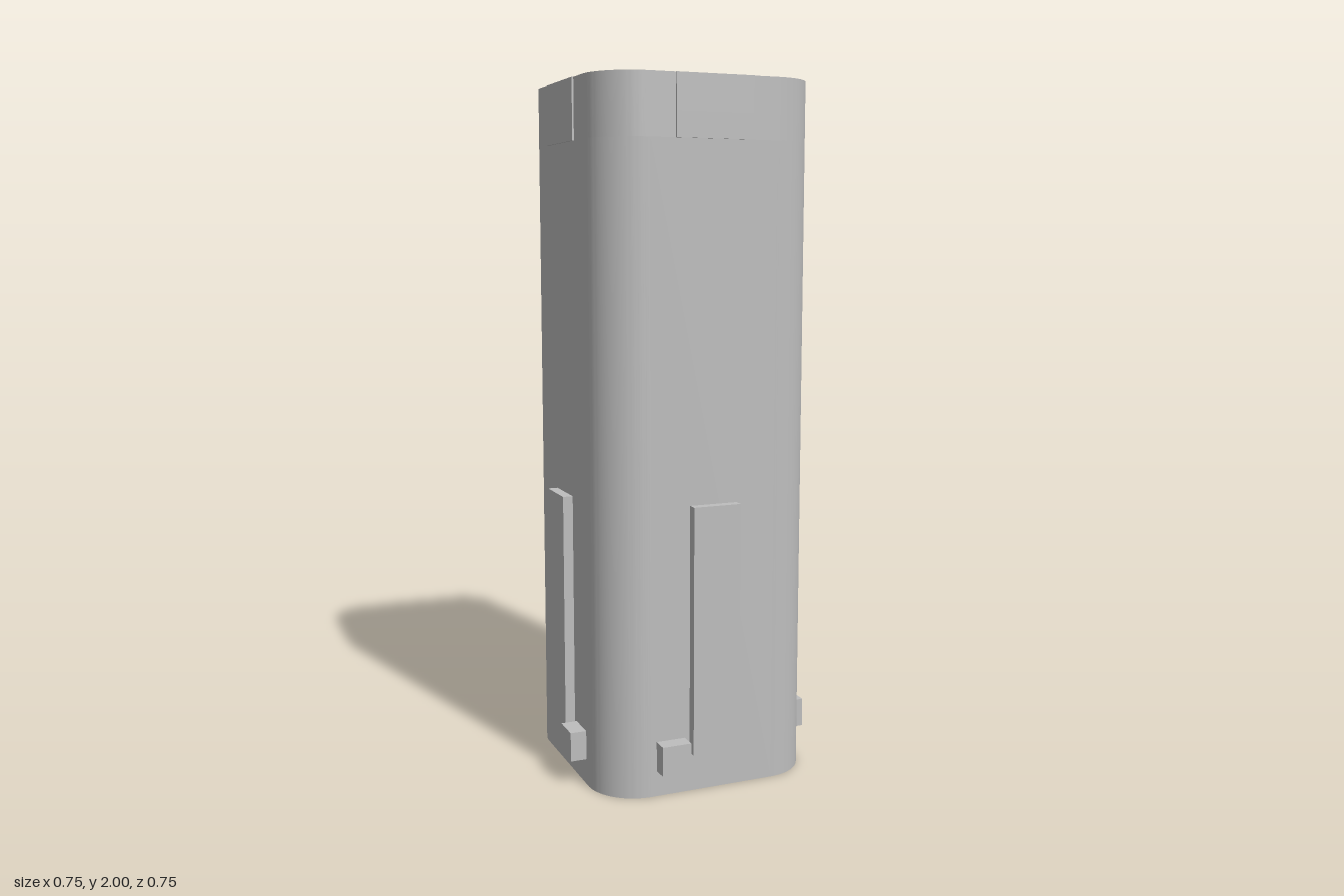
import * as THREE from 'three';
import { toCreasedNormals } from 'three/addons/utils/BufferGeometryUtils.js';

export function createModel() {
  const model = new THREE.Group();
  model.name = 'squareColumn';
  const grey = new THREE.MeshStandardMaterial({ color: 0xbebebe });
  grey.name = 'grey';

  const OUT = 0.328, IN = 0.272, C = 0.188; // wall faces and corner arc centre
  const RO = OUT - C, RI = IN - C;
  const LEDGE = 1.83, TOP = 2;

  const add = (parent, name, geometry) => {
    const mesh = new THREE.Mesh(geometry, grey);
    mesh.name = name;
    parent.add(mesh);
    return mesh;
  };
  // Box given by its limits
  const box = (parent, name, x0, x1, y0, y1, z0, z1) =>
    add(parent, name, new THREE.BoxGeometry(x1 - x0, y1 - y0, z1 - z0))
      .position.set((x0 + x1) / 2, (y0 + y1) / 2, (z0 + z1) / 2);
  // Plan shape raised from y0 to y1
  const raise = (shape, y0, y1) => {
    const g = new THREE.ExtrudeGeometry(shape, { depth: y1 - y0, bevelEnabled: false, curveSegments: 16 });
    g.rotateX(-Math.PI / 2).translate(0, y0, 0);
    return toCreasedNormals(g, 0.5);
  };
  const roundedSquare = (path, r) => {
    for (let i = 0; i < 4; i++) {
      const a = i * Math.PI / 2;
      const cx = C * (i === 0 || i === 3 ? 1 : -1), cy = C * (i < 2 ? 1 : -1);
      path.absarc(cx, cy, r, a, a + Math.PI / 2, false);
    }
    path.closePath();
    return path;
  };

  // Main hollow tube
  const ring = roundedSquare(new THREE.Shape(), RO);
  ring.holes.push(roundedSquare(new THREE.Path(), RI));
  add(model, 'tube', raise(ring, 0, LEDGE));

  // Corner wall between two top blocks
  const corner = new THREE.Shape();
  corner.moveTo(0.112, OUT);
  corner.lineTo(0.112, IN);
  corner.absarc(C, C, RI, Math.PI / 2, 0, true);
  corner.lineTo(IN, 0.112);
  corner.lineTo(OUT, 0.112);
  corner.absarc(C, C, RO, 0, Math.PI / 2, false);
  corner.closePath();
  const cornerGeometry = raise(corner, LEDGE, TOP);

  // Top block with a round socket; plan y points to the back
  const block = new THREE.Shape();
  block.moveTo(-0.114, -0.333);
  block.lineTo(0.114, -0.333);
  block.lineTo(0.114, -0.243);
  block.lineTo(-0.114, -0.243);
  block.closePath();
  const socket = new THREE.Path();
  socket.absarc(0, -0.3, 0.03, 0, Math.PI * 2, true);
  block.holes.push(socket);
  const blockGeometry = raise(block, 1.9, TOP);

  // Four sides
  ['front', 'left', 'back', 'right'].forEach((label, i) => {
    const side = new THREE.Group();
    side.name = label + 'Side';
    side.rotation.y = i * Math.PI / 2;
    model.add(side);
    add(side, 'topCorner', cornerGeometry);
    add(side, 'topBlock', blockGeometry);
    box(side, 'topBlockBase', -0.114, 0.114, LEDGE, 1.9, 0.243, 0.333);
    box(side, 'innerLug', -0.085, 0.085, 1.66, LEDGE, 0.2, 0.3);
    box(side, 'outerRib', -0.071, 0.071, 0.115, 0.83, 0.3, 0.357);
    const s = i < 2 ? -1 : 1;
    box(side, 'foot', s * 0.129 - 0.043, s * 0.129 + 0.043, 0.075, 0.16, 0.3, 0.375);
  });

  // Inner corner stop, poking slightly through the wall
  box(model, 'cornerStop', -0.29, -0.158, 0.9, 1.025, -0.315, -0.116);

  return model;
}
